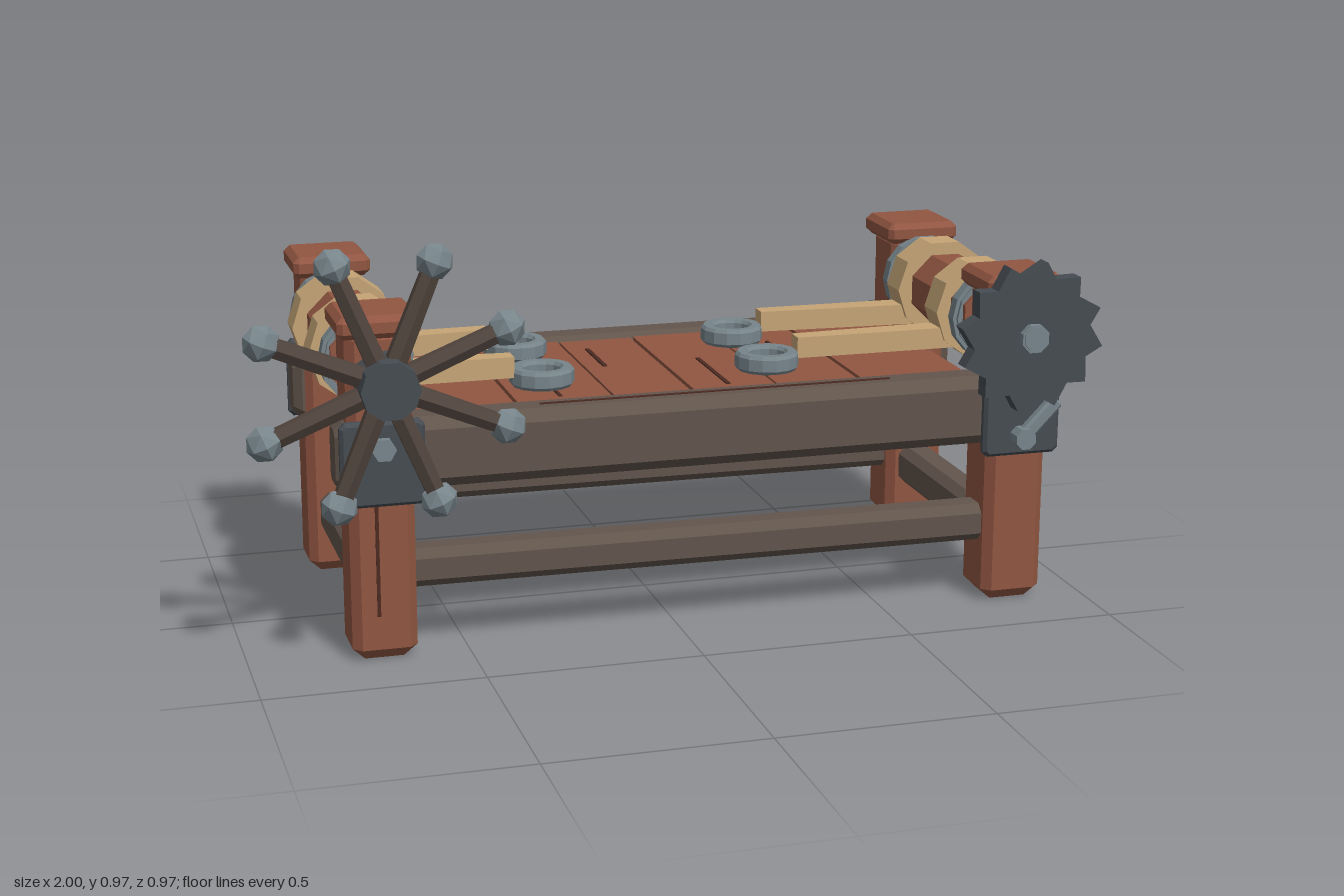
import * as THREE from 'three';

const mat = (name, color) => Object.assign(new THREE.MeshStandardMaterial({ color }), { name });

export function createModel() {
  const redWood = mat('red wood', 0x915642);
  const darkWood = mat('dark wood', 0x62554c);
  const spokeWood = mat('spoke wood', 0x50443d);
  const leather = mat('tan leather', 0xc6a577);
  const steel = mat('steel', 0x77858b);
  const iron = mat('dark iron', 0x464c52);
  const crackMat = mat('crack', 0x4c2b22);

  const model = new THREE.Group();

  // Faceted mesh at a position
  function add(name, geo, material, x = 0, y = 0, z = 0, parent = model) {
    const g = geo.index ? geo.toNonIndexed() : geo;
    g.computeVertexNormals();
    const m = new THREE.Mesh(g, material);
    m.name = name;
    m.position.set(x, y, z);
    parent.add(m);
    return m;
  }

  // Timber with chamfered edges (c) and bevelled ends (b), lying along one axis
  function timber(axis, w, h, len, c, b) {
    const X = w / 2, Y = h / 2;
    const s = new THREE.Shape([
      [X - c, -Y], [X, -Y + c], [X, Y - c], [X - c, Y],
      [-X + c, Y], [-X, Y - c], [-X, -Y + c], [-X + c, -Y],
    ].map(p => new THREE.Vector2(...p)));
    const g = new THREE.ExtrudeGeometry(s, {
      depth: len - 2 * b, bevelThickness: b, bevelSize: b, bevelOffset: -b, bevelSegments: 1,
    });
    g.translate(0, 0, -(len - 2 * b) / 2);
    if (axis === 'x') g.rotateY(Math.PI / 2);
    if (axis === 'y') g.rotateX(-Math.PI / 2);
    return g;
  }

  // Cylinder along z, turned so that a flat side is on top
  const drum = (r, len, sides, r2 = r) =>
    new THREE.CylinderGeometry(r2, r, len, sides).rotateY(Math.PI / sides).rotateX(Math.PI / 2);

  const endX = [-0.695, 0.82], postZ = [0.267, -0.377];
  const midX = 0.0625, midZ = -0.055, axleY = 0.665;

  // Corner posts, caps, iron plates and bolts
  for (const x of endX) {
    for (const z of postZ) {
      const s = z > 0 ? 1 : -1;
      add('post', timber('y', 0.148, 0.146, 0.77, 0.02, 0.028), redWood, x, 0.388, z);
      add('postCap', timber('y', 0.185, 0.185, 0.052, 0.012, 0.014), redWood, x, 0.776, z);
      add('cornerPlate', timber('z', 0.19, 0.195, 0.028, 0.012, 0.008), iron, x, 0.468, z + s * 0.08);
      if (s < 0 || x < 0) add('plateBolt', drum(0.028, 0.03, 6), steel, x, 0.505, z + s * 0.097);
    }
  }

  // Long beams that run through the posts, and the lower stretchers
  for (const z of postZ) {
    add('longBeam', timber('x', 0.112, 0.165, 1.71, 0.026, 0.02), darkWood, midX, 0.472, z);
    add('longStretcher', timber('x', 0.09, 0.09, 1.42, 0.02, 0.005), darkWood, midX, 0.197, z)
      .rotation.z = -0.006;
  }
  for (const x of endX)
    add('shortStretcher', timber('z', 0.09, 0.1, 0.53, 0.02, 0.005), darkWood, x, 0.16, midZ);

  // Plank bed
  const seams = [-0.61, -0.36, -0.13, 0.06, 0.265, 0.47, 0.735];
  for (let i = 0; i < seams.length - 1; i++) {
    const w = seams[i + 1] - seams[i] - 0.008;
    add('plank', new THREE.BoxGeometry(w, 0.054 + 0.004 * (i % 2), 0.55), redWood,
      (seams[i] + seams[i + 1]) / 2, 0.515, -0.06);
  }
  add('plankCore', new THREE.BoxGeometry(1.34, 0.036, 0.54), redWood, midX, 0.515, -0.06);

  // Rollers with flanges, straps, arms and shackle rings
  const ringProfile = [[0.047, 0], [0.07, 0], [0.076, 0.008], [0.076, 0.036], [0.07, 0.044],
    [0.051, 0.044], [0.045, 0.036], [0.045, 0.008], [0.047, 0]].map(p => new THREE.Vector2(...p));
  for (const x of endX) {
    const inward = x < 0 ? 1 : -1;
    add('roller', drum(0.092, 0.51, 8), redWood, x, axleY, midZ);
    add('axle', drum(0.035, 0.9, 8), steel, x, axleY, -0.03);
    for (const z of [0.163, -0.275]) {
      add('rollerFlange', drum(0.107, 0.03, 14), steel, x, axleY, z);
      add('flangeCore', drum(0.098, 0.046, 14), steel, x, axleY, z);
    }
    for (const [strapZ, ringZ] of [[0.07, 0.08], [-0.183, -0.198]]) {
      add('strapCoil', drum(0.121, 0.08, 10), leather, x, axleY, strapZ);
      const ringX = inward > 0 ? -0.27 : 0.28;
      add('shackleRing', new THREE.LatheGeometry(ringProfile, 14), steel, ringX, 0.55, ringZ);
      // Arm narrows towards its ring
      const from = ringX - inward * 0.07, len = Math.abs(x - from) - 0.02;
      const arm = new THREE.BoxGeometry(len, 0.05, 0.066);
      const p = arm.attributes.position;
      for (let i = 0; i < p.count; i++)
        if (p.getX(i) * inward > 0) p.setZ(i, p.getZ(i) * 0.68 + ringZ - strapZ);
      add('strapArm', arm, leather, from - inward * len / 2, 0.6, strapZ);
    }
  }

  // Spoked hand wheel
  const wheel = new THREE.Group();
  wheel.name = 'handWheel';
  wheel.position.set(endX[0], axleY, 0.427);
  model.add(wheel);
  add('hub', drum(0.066, 0.115, 10), iron, 0, 0, 0, wheel);
  for (let i = 0; i < 8; i++) {
    const spoke = new THREE.Group();
    spoke.name = 'spoke';
    spoke.rotation.z = (i + 0.5) * Math.PI / 4;
    wheel.add(spoke);
    add('spokeBar', new THREE.CylinderGeometry(0.023, 0.026, 0.25, 6), spokeWood, 0, 0.155, 0, spoke);
    add('knob', new THREE.OctahedronGeometry(0.042, 1), steel, 0, 0.288, 0, spoke);
  }

  // Ratchet gear with slanted teeth
  const teeth = 12, gear = new THREE.Shape();
  for (let i = 0; i < teeth; i++) {
    const a = THREE.MathUtils.degToRad(80 + i * 360 / teeth);
    const tip = [0.178 * Math.cos(a), 0.178 * Math.sin(a)];
    if (i) gear.lineTo(...tip); else gear.moveTo(...tip);
    gear.lineTo(0.145 * Math.cos(a + 0.32), 0.145 * Math.sin(a + 0.32));
  }
  gear.closePath();
  add('ratchetGear', new THREE.ExtrudeGeometry(gear, { depth: 0.042, bevelEnabled: false }), iron,
    endX[1], axleY, 0.361);
  add('gearBolt', drum(0.03, 0.03, 8), steel, endX[1], axleY, 0.408);

  // Pawl below the gear
  const pawl = new THREE.Group();
  pawl.name = 'pawl';
  pawl.position.set(0.85, 0.455, 0.375);
  pawl.rotation.z = 0.8;
  model.add(pawl);
  add('pawlArm', timber('x', 0.028, 0.034, 0.14, 0.006, 0.005), steel, 0, 0, 0, pawl);
  add('pawlPin', drum(0.026, 0.04, 8), steel, -0.05, 0, 0.005, pawl);

  // Cracks: centre and size of thin plates on the wood
  const cracks = [
    [-0.08, 0.545, -0.15, 0.01, 0.004, 0.17], [0.155, 0.545, 0.05, 0.01, 0.004, 0.25],
    [0.37, 0.545, -0.12, 0.008, 0.004, 0.14], [-0.25, 0.545, 0.1, 0.008, 0.004, 0.16],
    [0.1, 0.555, 0.268, 0.84, 0.004, 0.008], [-0.71, 0.24, 0.34, 0.008, 0.26, 0.004],
    [0.894, 0.235, -0.357, 0.004, 0.29, 0.008],
  ];
  for (const [x, y, z, w, h, d] of cracks)
    add('crack', new THREE.BoxGeometry(w, h, d), crackMat, x, y, z);

  // Small three-sided chips in the timber
  const chips = [[0.862, 0.185, -0.03], [0.89, 0.085, 0.222], [0.89, 0.35, -0.33],
    [-0.36, 0.55, -0.42], [-0.48, 0.55, -0.35]];
  for (const [x, y, z] of chips)
    add('chip', new THREE.TetrahedronGeometry(0.022), redWood, x, y, z);

  return model;
}
